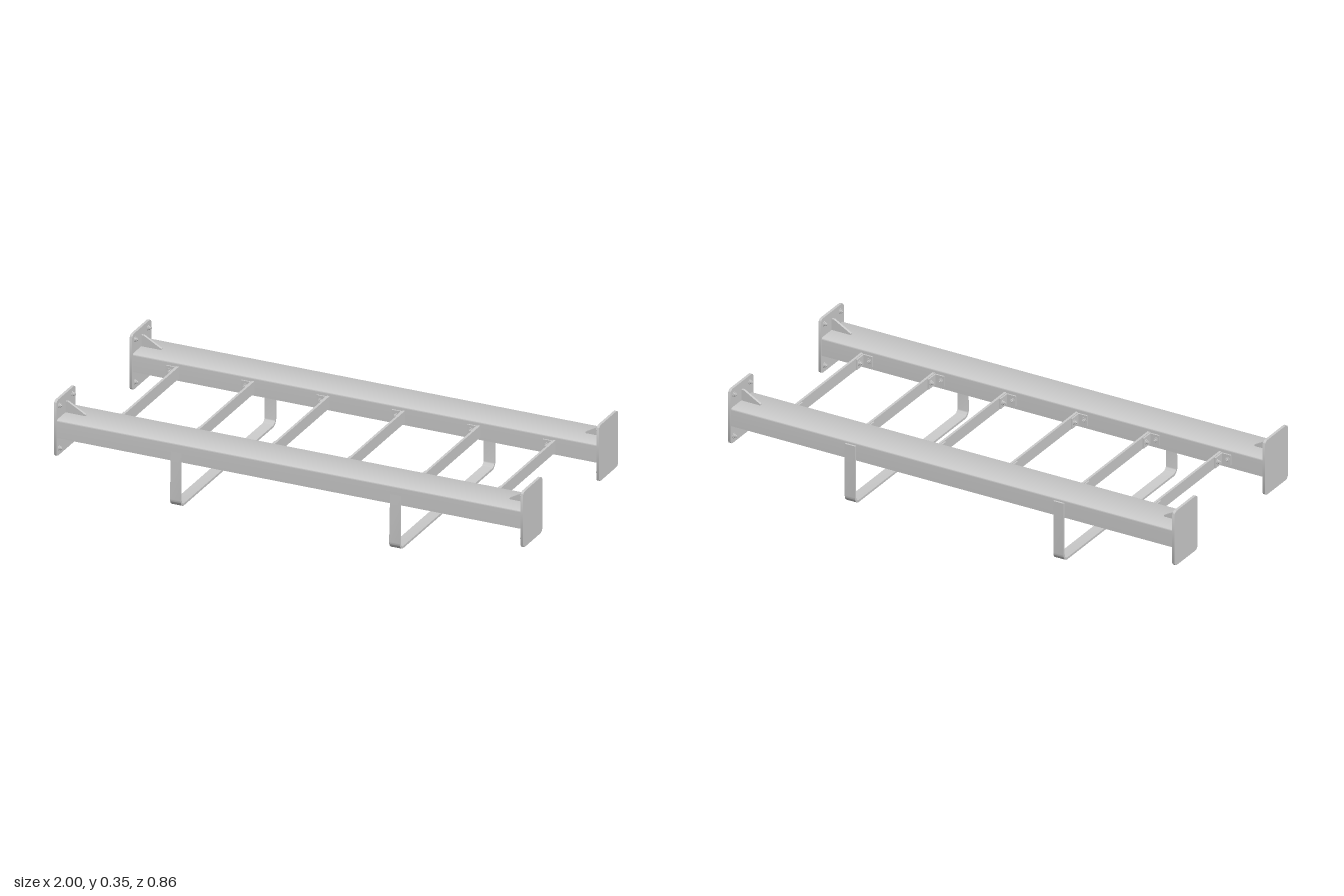
import * as THREE from 'three';
import { toCreasedNormals } from 'three/addons/utils/BufferGeometryUtils.js';

const steel = new THREE.MeshStandardMaterial({ color: 0xcccccc });

function mesh(name, geometry, x = 0, y = 0, z = 0) {
  const m = new THREE.Mesh(geometry, steel);
  m.name = name;
  m.position.set(x, y, z);
  return m;
}

// Extrudes a (z, y) cross-section along x, centred on x = 0
function extrudeX(shape, length) {
  const g = new THREE.ExtrudeGeometry(shape, { depth: length, bevelEnabled: false, curveSegments: 6 });
  g.translate(0, 0, -length / 2).rotateY(Math.PI / 2);
  return toCreasedNormals(g, 0.6);
}

// Channel section, open at the bottom, with rounded upper corners
function channelShape(w, h, t, r) {
  const s = new THREE.Shape();
  s.moveTo(-w, 0);
  s.lineTo(-w + t, 0);
  s.lineTo(-w + t, h - t);
  s.lineTo(w - t, h - t);
  s.lineTo(w - t, 0);
  s.lineTo(w, 0);
  s.lineTo(w, h - r);
  s.absarc(w - r, h - r, r, 0, Math.PI / 2);
  s.absarc(-w + r, h - r, r, Math.PI / 2, Math.PI);
  s.closePath();
  return s;
}

function roundedRect(w, h, r) {
  const s = new THREE.Shape();
  s.absarc(w - r, h - r, r, 0, Math.PI / 2);
  s.absarc(-w + r, h - r, r, Math.PI / 2, Math.PI);
  s.absarc(-w + r, -h + r, r, Math.PI, Math.PI * 1.5);
  s.absarc(w - r, -h + r, r, Math.PI * 1.5, Math.PI * 2);
  s.closePath();
  return s;
}

// U-shaped strap outline with rounded lower corners
function strapShape(w, h, t, r) {
  const s = new THREE.Shape();
  const i = r - t;
  s.moveTo(-w, h);
  s.absarc(-w + r, r, r, Math.PI, Math.PI * 1.5);
  s.absarc(w - r, r, r, Math.PI * 1.5, Math.PI * 2);
  s.lineTo(w, h);
  s.lineTo(w - t, h);
  s.absarc(w - r, r, i, 0, -Math.PI / 2, true);
  s.absarc(-w + r, r, i, -Math.PI / 2, -Math.PI, true);
  s.lineTo(-w + t, h);
  s.closePath();
  return s;
}

// Washer, hex head and stud pointing along +x
function bolt(r) {
  const g = new THREE.Group();
  g.name = 'bolt';
  const parts = [['washer', r * 1.4, r * 0.3, 20, 0], ['nut', r, r * 0.8, 6, r * 0.3], ['stud', r * 0.55, r * 0.5, 12, r * 1.1]];
  for (const [name, radius, len, sides, x] of parts) {
    const c = new THREE.CylinderGeometry(radius, radius, len, sides);
    c.rotateZ(-Math.PI / 2);
    g.add(mesh(name, c, x + len / 2));
  }
  return g;
}

function createModel() {
  const model = new THREE.Group();
  model.name = 'ladderFrame';

  // Two long channel beams with end plates, gussets and bolts
  const beamGeo = extrudeX(channelShape(0.081, 0.078, 0.009, 0.009), 1.978);
  const plateGeo = extrudeX(roundedRect(0.087, 0.118, 0.018), 0.011);
  const tri = new THREE.Shape([[0, 0], [0.085, 0], [0.085, 0.048], [0.075, 0.048], [0, 0.006]].map(p => new THREE.Vector2(...p)));
  const gussetGeo = new THREE.ExtrudeGeometry(tri, { depth: 0.01, bevelEnabled: false });
  gussetGeo.translate(-0.085, 0, -0.005);
  for (const side of [1, -1]) {
    const zc = side * 0.341;
    model.add(mesh('beam', beamGeo, 0, 0.19, zc));
    for (const end of [1, -1]) {
      const g = new THREE.Group();
      g.name = 'beamEnd';
      g.position.z = zc;
      if (end < 0) g.rotation.y = Math.PI;
      g.add(mesh('endPlate', plateGeo, 0.9945, 0.23, 0));
      g.add(mesh('gusset', gussetGeo, 0.989, 0.267, 0));
      for (const y of [0.14, 0.32]) for (const z of [-0.06, 0.06]) {
        const b = bolt(0.008);
        b.rotation.y = Math.PI;
        b.position.set(0.989, y, z);
        g.add(b);
      }
      model.add(g);
    }
  }

  // Six flat cross rungs, each fixed by bolted angle brackets
  for (let i = 0; i < 6; i++) {
    const rung = new THREE.Group();
    rung.name = 'rung';
    rung.position.set(-0.797 + i * 0.321, 0.226, 0);
    rung.add(mesh('rungBar', new THREE.BoxGeometry(0.01, 0.05, 0.52)));
    for (const side of [1, -1]) {
      rung.add(mesh('bracketRungLeg', new THREE.BoxGeometry(0.006, 0.044, 0.055), -0.008, 0, side * 0.2325));
      rung.add(mesh('bracketBeamLeg', new THREE.BoxGeometry(0.044, 0.044, 0.006), -0.027, 0, side * 0.257));
      const a = bolt(0.008);
      a.rotation.y = Math.PI;
      a.position.set(-0.011, 0, side * 0.222);
      const b = bolt(0.008);
      b.rotation.y = side * Math.PI / 2;
      b.position.set(-0.034, 0, side * 0.254);
      rung.add(a, b);
    }
    model.add(rung);
  }

  // Two U-shaped straps hanging below the beams
  const strapGeo = extrudeX(strapShape(0.43, 0.254, 0.009, 0.03), 0.046);
  for (const x of [-0.481, 0.453]) model.add(mesh('hangerStrap', strapGeo, x));

  return model;
}

export { createModel };
